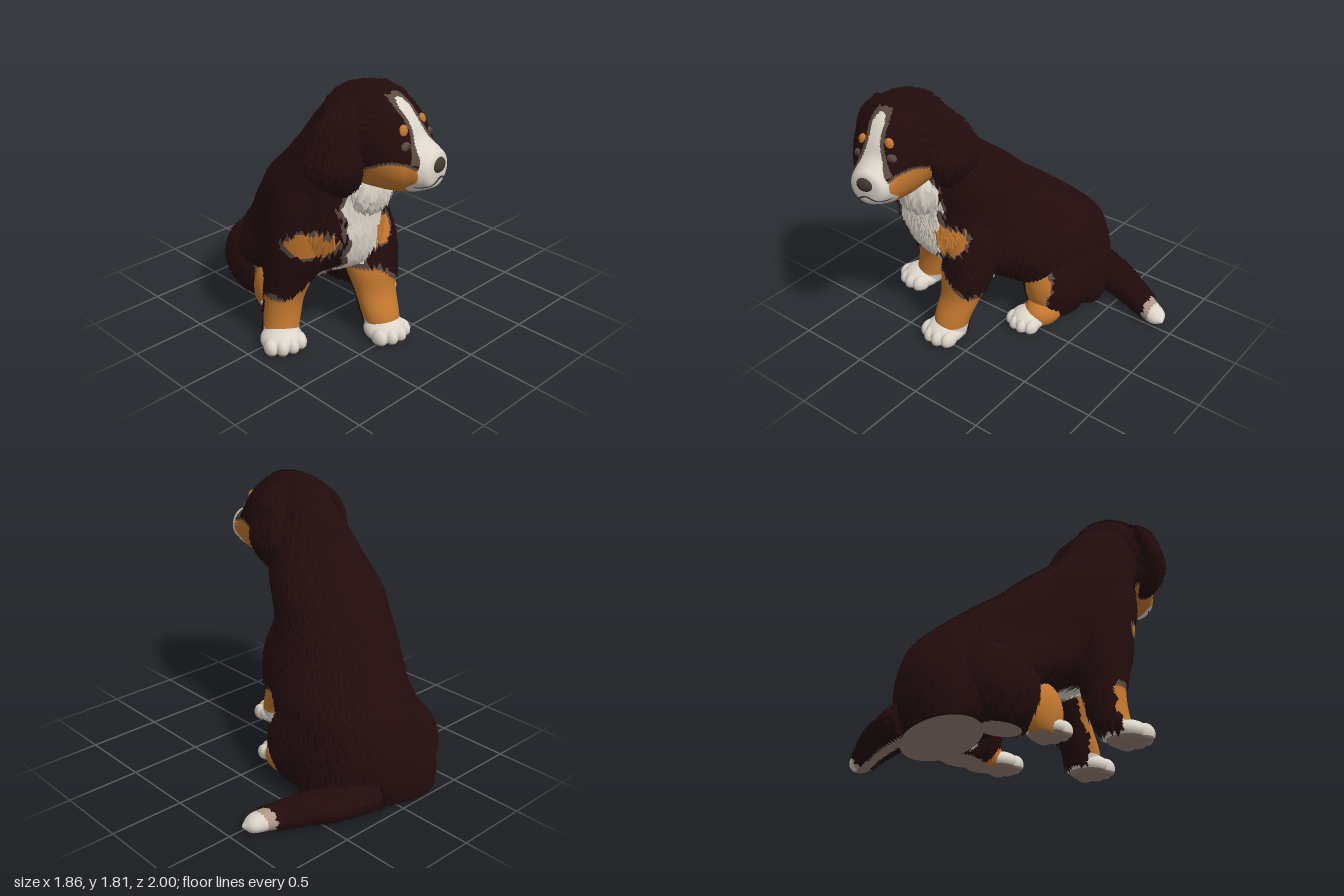
import * as THREE from 'three';

const V = (x, y, z) => new THREE.Vector3(x, y, z);
const UP = V(0, 1, 0), FRONT = V(0, 0, 1), HEADING = V(-0.5, 0, 0.866);

// Small seeded generator for fur jitter
let seed = 7;
const rand = () => (seed = (seed * 16807) % 2147483647) / 2147483647;

// Smooth loft: rows are [x, y, z, side radius, v radius], rings lie across axis n
function loft(rows, n, v, rings, seg) {
  const u = v.clone().cross(n).normalize();
  const path = new THREE.CatmullRomCurve3(rows.map(r => V(r[0], r[1], r[2])), false, 'catmullrom');
  const size = new THREE.CatmullRomCurve3(rows.map(r => V(r[3], r[4], 0)), false, 'catmullrom');
  const pos = [], idx = [];
  for (let i = 0; i <= rings; i++) {
    const c = path.getPoint(i / rings), s = size.getPoint(i / rings);
    for (let j = 0; j < seg; j++) {
      const t = j / seg * Math.PI * 2;
      const p = c.clone().addScaledVector(u, Math.max(s.x, 0.004) * Math.cos(t))
        .addScaledVector(v, Math.max(s.y, 0.004) * Math.sin(t));
      pos.push(p.x, p.y, p.z);
      if (i === rings) continue;
      const a = i * seg + j, b = i * seg + (j + 1) % seg;
      idx.push(a, b, a + seg, b, b + seg, a + seg);
    }
  }
  const first = pos.length / 3, top = rings * seg;
  pos.push(...rows[0].slice(0, 3), ...rows[rows.length - 1].slice(0, 3));
  for (let j = 0; j < seg; j++) {
    const k = (j + 1) % seg;
    idx.push(first, k, j, first + 1, top + j, top + k);
  }
  const g = new THREE.BufferGeometry();
  g.setAttribute('position', new THREE.Float32BufferAttribute(pos, 3));
  return g.setIndex(idx);
}

const ball = (c, r, detail = 24) =>
  new THREE.SphereGeometry(1, detail, Math.round(detail * 0.7)).scale(...r).translate(...c);

export function createModel() {
  const mats = {};
  for (const [name, color] of Object.entries({
    darkCoat: 0x220b0c, tan: 0xc4782f, white: 0xddd5ca, taupe: 0x5a4a40, beige: 0xb39a88, nose: 0x40362f, sole: 0x9a8378,
  })) mats[name] = new THREE.MeshStandardMaterial({ name, color });

  const dog = new THREE.Group();
  dog.name = 'sittingPuppy';

  // Adds a part, splits its faces by paint rule, and optionally grows fur tufts along a flow
  function add(parent, name, g, paint, fur) {
    const P = g.attributes.position, floor = parent.name === 'head' ? -9 : 0;
    for (let i = 0; i < P.count; i++) P.setY(i, Math.max(P.getY(i), floor));
    g.computeVertexNormals();
    const rule = typeof paint === 'string' ? () => paint : paint;
    const faces = {}, tufts = {}, N = g.attributes.normal, ix = g.index.array;
    let due = 0;
    for (let i = 0; i < ix.length; i += 3) {
      const t = [ix[i], ix[i + 1], ix[i + 2]];
      const [a, b, c] = t.map(k => V().fromBufferAttribute(P, k));
      const n = V();
      t.forEach(k => n.add(V().fromBufferAttribute(N, k)));
      n.normalize();
      const mid = a.clone().add(b).add(c).divideScalar(3), tone = rule(mid, n);
      (faces[tone] ??= []).push(...t);
      if (!fur || (fur.where && !fur.where(mid, tone))) continue;
      due += b.clone().sub(a).cross(c.clone().sub(a)).length() / 2 * fur.density;
      while (due > rand()) {
        due--;
        const f = fur.flow.clone().add(V(rand() - 0.5, rand() - 0.5, rand() - 0.5).multiplyScalar(0.5));
        f.addScaledVector(n, -f.dot(n)).normalize();
        const s = n.clone().cross(f), len = fur.length * (0.7 + 0.6 * rand()), w = fur.length * 0.34;
        const r1 = rand(), r2 = rand() * (1 - r1);
        const root = a.clone().addScaledVector(b.clone().sub(a), r1).addScaledVector(c.clone().sub(a), r2);
        root.addScaledVector(f, -len * 0.5);
        const M = root.clone().addScaledVector(n, 0.005);
        const L = root.clone().addScaledVector(s, w).addScaledVector(f, len * 0.3);
        const R = root.clone().addScaledVector(s, -w).addScaledVector(f, len * 0.3);
        const tip = root.clone().addScaledVector(f, len).addScaledVector(n, 0.016);
        for (const q of [M, tip, L, M, R, tip, L, tip, R])
          (tufts[tone] ??= []).push(q.x, Math.max(q.y, floor), q.z);
      }
    }
    const order = Object.keys(faces), all = [];
    g.clearGroups();
    order.forEach((k, m) => {
      g.addGroup(all.length, faces[k].length, m);
      for (const q of faces[k]) all.push(q);
    });
    g.setIndex(all);
    const mesh = new THREE.Mesh(g, order.length > 1 ? order.map(k => mats[k]) : mats[order[0]]);
    if (order.length < 2) g.clearGroups();
    mesh.name = name;
    parent.add(mesh);
    for (const k in tufts) {
      const h = new THREE.BufferGeometry();
      h.setAttribute('position', new THREE.Float32BufferAttribute(tufts[k], 3));
      h.computeVertexNormals();
      const coat = new THREE.Mesh(h, mats[k]);
      coat.name = name + 'Fur';
      parent.add(coat);
    }
  }

  // Coat markings: white chest blaze, two tan chest patches, pale belly, dark elsewhere
  const oval = (p, x, y, rx, ry) => ((p.x - x) / rx) ** 2 + ((p.y - y) / ry) ** 2;
  const coat = (p, n) => {
    if (p.y < 0.004) return 'sole';
    if (n.z > 0.1 && p.y < 0.25 && Math.abs(p.x) < 0.07) return 'beige';
    if (n.z < 0.12 || p.y < 0.33) return 'darkCoat';
    const d = Math.abs(p.x + 0.41) - 0.05 - 0.12 * Math.min(1, (p.y - 0.33) / 0.7) - 0.015 * Math.sin(p.y * 38);
    if (d < 0 && p.y < 1.35) return 'white';
    const patch = Math.min(oval(p, -0.7, 0.77, 0.1, 0.1), oval(p, -0.21, 0.75, 0.12, 0.11));
    if (patch < 1) return 'tan';
    return patch < 1.5 || (d < 0.025 && p.y < 1.3) ? 'taupe' : 'darkCoat';
  };
  const bodyFur = { flow: V(0.1, -1, -0.35), density: 1200, length: 0.08, where: p => p.y > 0.03 };

  // Torso, from seat to neck
  add(dog, 'torso', loft([
    [0, 0, -0.69, 0.43, 0.22], [-0.03, 0.15, -0.62, 0.47, 0.33], [-0.08, 0.32, -0.49, 0.49, 0.47],
    [-0.13, 0.45, -0.36, 0.47, 0.58], [-0.18, 0.6, -0.22, 0.44, 0.65], [-0.29, 0.8, -0.08, 0.4, 0.58],
    [-0.35, 0.95, 0.02, 0.38, 0.48], [-0.38, 1.1, 0.11, 0.37, 0.4], [-0.4, 1.25, 0.22, 0.33, 0.32],
    [-0.42, 1.42, 0.33, 0.28, 0.27], [-0.43, 1.58, 0.38, 0.2, 0.21], [-0.43, 1.7, 0.43, 0.12, 0.12]],
  UP, HEADING, 88, 84), coat, bodyFur);
  add(dog, 'throatRuff', ball([-0.385, 1.16, 0.47], [0.165, 0.2, 0.12]), 'white',
    { flow: V(0, -1, 0.1), density: 500, length: 0.1 });

  // Paw with four toes, toes pointing along yaw
  function paw(name, x, z, yaw, s) {
    const group = new THREE.Group();
    group.name = name;
    dog.add(group);
    const paint = p => p.y < 0.02 ? 'sole' : 'white';
    const size = g => g.scale(s, s, s);
    add(group, 'pad', size(ball([0, 0.055, -0.01], [0.135, 0.08, 0.135], 32)), paint);
    for (const tx of [-0.095, -0.034, 0.034, 0.095])
      add(group, 'toe', size(ball([tx, 0.045, Math.abs(tx) > 0.05 ? 0.05 : 0.08], [0.044, 0.06, 0.065], 16)), paint);
    group.position.set(x, 0, z);
    group.rotation.y = yaw;
  }
  paw('leftFrontPaw', -0.22, 0.46, -0.1, 1.02);
  paw('rightFrontPaw', -0.78, 0.08, -0.35, 1.02);
  paw('leftHindPaw', 0.15, 0.01, -0.1, 0.92);
  paw('rightHindPaw', -0.48, -0.3, -0.1, 0.92);

  // Front legs: tan stockings reaching higher inside, dark feathering behind
  const legPaint = (p, n) => {
    const limit = 0.33 + 0.15 * (1 - THREE.MathUtils.smoothstep(Math.abs(p.x + 0.41), 0.14, 0.36));
    if (p.y > limit + 0.045) return coat(p, n);
    if (n.z < -0.55) return 'darkCoat';
    if (p.y > limit) return 'taupe';
    return p.y < 0.11 ? 'white' : 'tan';
  };
  const legFur = { ...bodyFur, flow: V(0, -1, -0.25), where: (p, tone) => tone === 'darkCoat' };
  add(dog, 'leftFrontLeg', loft([
    [-0.2, 0.03, 0.42, 0.11, 0.11], [-0.2, 0.15, 0.39, 0.125, 0.12], [-0.18, 0.3, 0.32, 0.145, 0.125],
    [-0.17, 0.45, 0.27, 0.175, 0.16], [-0.15, 0.65, 0.2, 0.18, 0.2], [-0.16, 0.88, 0.15, 0.14, 0.17],
    [-0.2, 1.02, 0.15, 0.1, 0.12]], UP, FRONT, 50, 40), legPaint, legFur);
  add(dog, 'rightFrontLeg', loft([
    [-0.75, 0.03, 0.03, 0.11, 0.11], [-0.71, 0.15, 0.0, 0.12, 0.12], [-0.68, 0.3, 0, 0.13, 0.125],
    [-0.65, 0.45, 0.02, 0.155, 0.16], [-0.62, 0.65, 0.06, 0.19, 0.22], [-0.62, 0.88, 0.11, 0.19, 0.21],
    [-0.6, 1.08, 0.18, 0.17, 0.18], [-0.56, 1.24, 0.24, 0.13, 0.14]], UP, FRONT, 56, 40), legPaint, legFur);

  // Hind legs: thigh with tan knee, and tan hock
  for (const [side, thighAt, thighSize, knee, hockAt, hockSize] of [
    ['left', [0.19, 0.25, -0.32], [0.21, 0.3, 0.3], [0.18, 0.29], [0.2, 0.08, -0.12], [0.125, 0.11, 0.16]],
    ['right', [-0.37, 0.24, -0.6], [0.21, 0.28, 0.29], [-0.46, 0.26], [-0.5, 0.13, -0.36], [0.095, 0.19, 0.14]]]) {
    const thigh = (p, n) => {
      if (p.y < 0.004) return 'sole';
      const d = oval(p, ...knee, 0.11, 0.16);
      return n.z < 0.35 || d > 1.45 ? 'darkCoat' : d > 1 || n.z < 0.45 ? 'taupe' : 'tan';
    };
    add(dog, side + 'Thigh', ball(thighAt, thighSize, 48), thigh, legFur);
    add(dog, side + 'Hock', ball(hockAt, hockSize), p => p.y < 0.004 ? 'sole' : 'tan');
  }

  // Tail with pale tip
  add(dog, 'tail', loft([
    [0.1, 0.1, -0.83, 0.15, 0.1], [0.38, 0.085, -0.75, 0.14, 0.085], [0.6, 0.08, -0.66, 0.105, 0.08],
    [0.78, 0.065, -0.58, 0.08, 0.067], [0.87, 0.055, -0.545, 0.065, 0.052], [0.92, 0.048, -0.525, 0.01, 0.01]],
  V(0.92, 0, 0.38).normalize(), UP, 44, 32),
  p => p.y < 0.004 ? 'sole' : p.x > 0.82 ? 'white' : p.x > 0.76 ? 'beige' : 'darkCoat',
  { flow: V(1, 0, 0.4), density: 1200, length: 0.075, where: (p, t) => t === 'darkCoat' && p.y > 0.02 });

  // Head, turned and tilted slightly
  const head = new THREE.Group();
  head.name = 'head';
  head.position.set(-0.42, 1.5, 0.55);
  head.rotation.set(0, 0.17, 0.08);
  dog.add(head);
  const facePaint = p => {
    const spread = Math.min(1, Math.max(0, (0.12 - p.y) / 0.22));
    const top = p.y > 0.2 ? Math.sqrt(Math.max(0, 1 - ((p.y - 0.2) / 0.055) ** 2)) : 1;
    const blaze = Math.abs(p.x) - (0.042 + 0.093 * spread ** 1.4) * top;
    if (p.z > (p.y > -0.1 ? 0.08 : 0.285) && p.y < 0.255 && blaze < 0) return 'white';
    if (p.z > 0.05 && p.y > -0.07 && p.y < 0.275 && blaze < 0.025 + 0.03 * (1 - top)) return 'taupe';
    const cheek = -0.08 - 0.02 * Math.sin(p.z * 20);
    if (p.z > -0.05 && p.y < cheek) return 'tan';
    return p.z > -0.07 && p.y < cheek + 0.015 ? 'taupe' : 'darkCoat';
  };
  const headFur = { flow: V(0, -0.35, -1), density: 1300, length: 0.06 };
  add(head, 'skullAndMuzzle', loft([
    [0, 0.06, -0.32, 0.03, 0.03], [0, 0.06, -0.28, 0.14, 0.13], [0, 0.035, -0.2, 0.24, 0.22],
    [0, 0, -0.05, 0.275, 0.295], [0, -0.015, 0.1, 0.26, 0.295], [0, -0.045, 0.2, 0.225, 0.26],
    [0, -0.085, 0.27, 0.185, 0.21], [0, -0.12, 0.315, 0.155, 0.16], [0, -0.13, 0.37, 0.135, 0.125],
    [0, -0.13, 0.415, 0.1, 0.095], [0, -0.13, 0.43, 0.02, 0.02]], FRONT, UP, 110, 110), facePaint,
  { ...headFur, where: (p, t) => t === 'darkCoat' && p.z < 0.1 });
  add(head, 'nose', ball([0, -0.1, 0.415], [0.058, 0.046, 0.036]), 'nose');
  add(head, 'mouth', new THREE.TubeGeometry(new THREE.CatmullRomCurve3([
    V(-0.118, -0.213, 0.325), V(-0.1, -0.21, 0.375), V(-0.06, -0.2, 0.418), V(0, -0.175, 0.43),
    V(0.06, -0.2, 0.418), V(0.1, -0.21, 0.375), V(0.118, -0.213, 0.325)]), 30, 0.005, 6), 'nose');

  // Brow spots, eyes and hanging ears on both sides
  for (const s of [-1, 1]) {
    const side = s > 0 ? 'left' : 'right';
    add(head, side + 'Brow', ball([0.092 * s, 0.1, 0.251], [0.033, 0.042, 0.024], 16), 'tan');
    add(head, side + 'EyeRim', ball([0.112 * s, 0.025, 0.277], [0.04, 0.031, 0.026], 16), 'taupe');
    add(head, side + 'Eye', ball([0.112 * s, 0.025, 0.288], [0.022, 0.019, 0.02], 16), 'nose');
    add(head, side + 'Ear', loft([
      [0.26 * s, -0.3, -0.07, 0.02, 0.03], [0.3 * s, -0.22, -0.07, 0.055, 0.12],
      [0.33 * s, -0.11, -0.07, 0.07, 0.17], [0.29 * s, 0.02, -0.07, 0.07, 0.17],
      [0.23 * s, 0.14, -0.06, 0.075, 0.14], [0.15 * s, 0.24, -0.05, 0.04, 0.05]],
    UP, V(-0.43 * s, 0, 0.9).normalize(), 36, 36),
    (p, n) => n.z > 0.4 && Math.abs(p.x) < 0.26 && Math.abs(p.y) < 0.05 ? 'tan' : 'darkCoat',
    { ...headFur, flow: V(0.15 * s, -1, -0.1), where: (p, t) => t === 'darkCoat' });
  }
  return dog;
}
